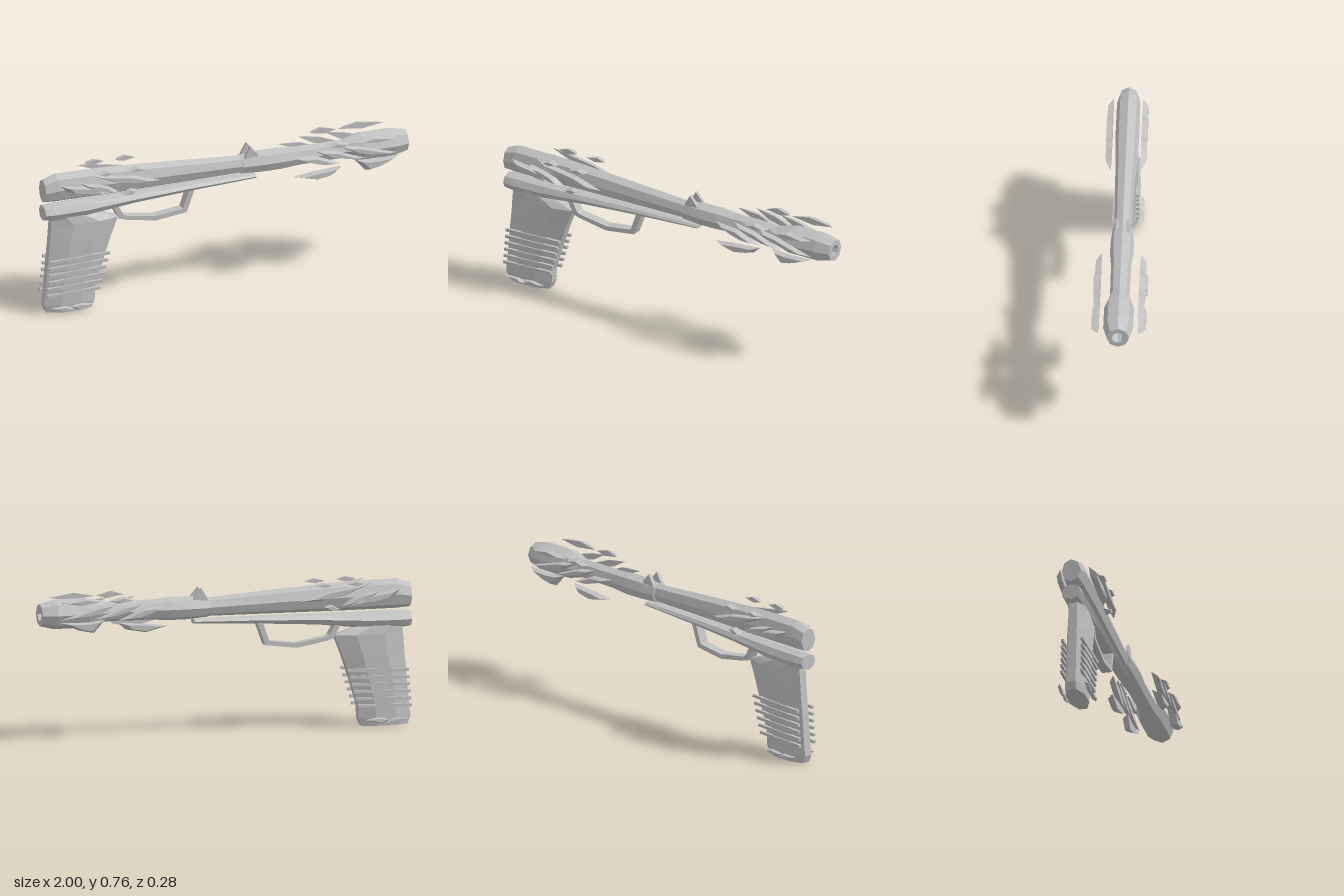
import * as THREE from 'three';

const metal = new THREE.MeshStandardMaterial({ color: 0xc0c0c0, flatShading: true });
metal.name = 'light grey metal';

// Skin a list of rings (each ring counter-clockwise about the loft direction) and cap both ends
function loft(rings) {
  const pos = [];
  const tri = (...pts) => pts.forEach((p) => pos.push(...p));
  const n = rings[0].length;
  const middle = (r) => [0, 1, 2].map((k) => r.reduce((s, p) => s + p[k], 0) / n);
  for (let i = 0; i < rings.length - 1; i++) {
    for (let j = 0; j < n; j++) {
      const k = (j + 1) % n, r = rings[i], s = rings[i + 1];
      tri(r[j], r[k], s[k]);
      tri(r[j], s[k], s[j]);
    }
  }
  const first = rings[0], last = rings[rings.length - 1];
  for (let j = 0; j < n; j++) {
    const k = (j + 1) % n;
    tri(middle(first), first[k], first[j]);
    tri(middle(last), last[j], last[k]);
  }
  const g = new THREE.BufferGeometry();
  g.setAttribute('position', new THREE.Float32BufferAttribute(pos, 3));
  g.computeVertexNormals();
  return g;
}

// Eight-sided tube along x from [x, centre y, radius y, radius z]
const octTube = (sections) => loft(sections.map(([x, cy, ry, rz]) =>
  Array.from({ length: 8 }, (_, i) => {
    const a = (i * Math.PI) / 4;
    return [x, cy + ry * Math.cos(a), rz * Math.sin(a)];
  })));

const shapeOf = (pts) => new THREE.Shape(pts.map(([x, y]) => new THREE.Vector2(x, y)));

function plate(pts, depth, z = 0) {
  const g = new THREE.ExtrudeGeometry(shapeOf(pts), { depth, bevelEnabled: false });
  return g.translate(0, 0, z - depth / 2);
}

// Flame leaf: flat towards the body, narrowing to a smaller face outside
function leaf(pts, inner, depth, side) {
  const g = new THREE.ExtrudeGeometry(shapeOf(pts), { depth: 1, bevelEnabled: false });
  const cx = pts.reduce((s, p) => s + p[0], 0) / pts.length;
  const cy = pts.reduce((s, p) => s + p[1], 0) / pts.length;
  const p = g.attributes.position;
  for (let i = 0; i < p.count; i++) {
    const t = p.getZ(i);
    const outside = side > 0 ? t > 0.5 : t < 0.5;
    const f = outside ? 0.65 : 1;
    p.setXYZ(i, cx + (p.getX(i) - cx) * f, cy + (p.getY(i) - cy) * f,
      side * (outside ? inner + depth : inner));
  }
  g.computeVertexNormals();
  return g;
}

export function createModel() {
  const model = new THREE.Group();
  model.name = 'pistol';
  const add = (name, geometry) => {
    const m = new THREE.Mesh(geometry, metal);
    m.name = name;
    model.add(m);
    return m;
  };

  // Upper body, tapering forward
  add('upperBody', octTube([
    [-1, 0.667, 0.062, 0.05], [-0.93, 0.677, 0.077, 0.06], [-0.65, 0.675, 0.075, 0.06],
    [-0.35, 0.668, 0.065, 0.052], [0.1, 0.655, 0.048, 0.043],
  ]));

  // Front barrel with swollen muzzle and open bore
  add('barrel', octTube([
    [0.09, 0.1, 0.052], [0.2, 0, 0.06], [0.3, 0, 0.06], [0.4, 0, 0.052], [0.65, 0, 0.05],
    [0.75, 0, 0.077], [0.92, 0, 0.077], [1, 0, 0.058], [1, 0, 0.031], [0.88, 0, 0.031],
  ].map(([x, , r]) => [x, 0.655, r, r])));

  // Lower rail
  add('lowerRail', octTube([
    [-1, 0.546, 0.042, 0.05], [-0.95, 0.545, 0.046, 0.057], [-0.78, 0.547, 0.045, 0.058],
    [-0.5, 0.564, 0.03, 0.05], [-0.2, 0.575, 0.022, 0.04], [0.17, 0.584, 0.013, 0.032],
  ]));

  // Grip from [y, back x, front x, half width]
  add('grip', loft([
    [0, -0.984, -0.737, 0.05], [0.04, -1, -0.72, 0.053], [0.11, -0.992, -0.717, 0.053],
    [0.25, -0.98, -0.674, 0.053], [0.38, -0.967, -0.63, 0.053], [0.475, -0.96, -0.592, 0.051],
    [0.5, -0.957, -0.66, 0.047], [0.535, -0.955, -0.78, 0.04],
  ].map(([y, b, f, w]) => {
    const c = (f - b) * 0.3, s = 0.022;
    return [[f, y, s], [f, y, -s], [f - c, y, -w], [b + c, y, -w],
      [b, y, -s], [b, y, s], [b + c, y, w], [f - c, y, w]];
  })));

  // Trigger guard
  add('triggerGuard', plate([
    [-0.62, 0.53], [-0.585, 0.462], [-0.545, 0.45], [-0.385, 0.422], [-0.214, 0.444], [-0.17, 0.565],
    [-0.2, 0.565], [-0.235, 0.465], [-0.385, 0.446], [-0.545, 0.472], [-0.562, 0.48], [-0.59, 0.53],
  ], 0.052));

  const rearLeaves = [
    [[-0.93, 0.71], [-0.89, 0.67], [-0.76, 0.645], [-0.66, 0.635], [-0.71, 0.67], [-0.82, 0.695]],
    [[-0.82, 0.71], [-0.78, 0.675], [-0.68, 0.642], [-0.61, 0.635], [-0.66, 0.67], [-0.74, 0.695]],
    [[-0.78, 0.75], [-0.63, 0.69], [-0.48, 0.665], [-0.38, 0.665], [-0.52, 0.71], [-0.68, 0.735]],
    [[-0.74, 0.75], [-0.695, 0.735], [-0.63, 0.75], [-0.68, 0.765]],
    [[-0.57, 0.747], [-0.52, 0.735], [-0.46, 0.747], [-0.51, 0.762]],
    [[-0.6, 0.62], [-0.55, 0.61], [-0.51, 0.635], [-0.55, 0.645]],
  ];
  const frontLeaves = [
    [[0.34, 0.69], [0.42, 0.655], [0.52, 0.625], [0.61, 0.62], [0.47, 0.68]],
    [[0.45, 0.715], [0.53, 0.67], [0.65, 0.64], [0.74, 0.63], [0.57, 0.695]],
    [[0.6, 0.715], [0.68, 0.67], [0.79, 0.645], [0.92, 0.635], [0.7, 0.7]],
    [[0.51, 0.725], [0.6, 0.71], [0.66, 0.725], [0.58, 0.745]],
    [[0.67, 0.725], [0.8, 0.708], [0.92, 0.725], [0.78, 0.745]],
  ];
  const lowLeaves = [
    [[0.68, 0.63], [0.74, 0.565], [0.82, 0.58], [0.93, 0.625], [0.78, 0.62]],
    [[0.34, 0.585], [0.46, 0.555], [0.57, 0.575], [0.61, 0.61], [0.45, 0.6]],
  ];
  const gripLeaves = [
    [[-0.98, 0.04], [-0.92, 0.015], [-0.85, 0.02], [-0.89, 0.04]],
    [[-0.88, 0.035], [-0.83, 0.012], [-0.74, 0.035], [-0.81, 0.045]],
  ];

  for (const side of [1, -1]) {
    const word = side > 0 ? 'left' : 'right';

    // Floating flame ornaments
    rearLeaves.forEach((p) => add(word + 'RearFlame', leaf(p, 0.075, 0.03, side)));
    frontLeaves.forEach((p) => add(word + 'FrontFlame', leaf(p, 0.1, 0.03, side)));
    lowLeaves.forEach((p) => add(word + 'LowerFlame', leaf(p, 0.105, 0.035, side)));
    gripLeaves.forEach((p) => add(word + 'GripFlame', leaf(p, 0.065, 0.016, side)));

    // Sight fins
    add(word + 'SightFin', plate([[0.095, 0.68], [0.19, 0.68], [0.17, 0.715], [0.135, 0.756], [0.11, 0.715]],
      0.018, side * 0.028));

    // Grip ridges
    for (let i = 0; i < 6; i++) {
      const y = 0.105 + i * 0.037;
      const back = -0.995 + i * 0.003, front = -0.705 + i * 0.011;
      const ridge = add(word + 'GripRidge', new THREE.BoxGeometry(front - back, 0.015, 0.015));
      ridge.position.set((front + back) / 2, y, side * 0.0525);
      ridge.rotation.z = 0.03;
    }
  }
  return model;
}
